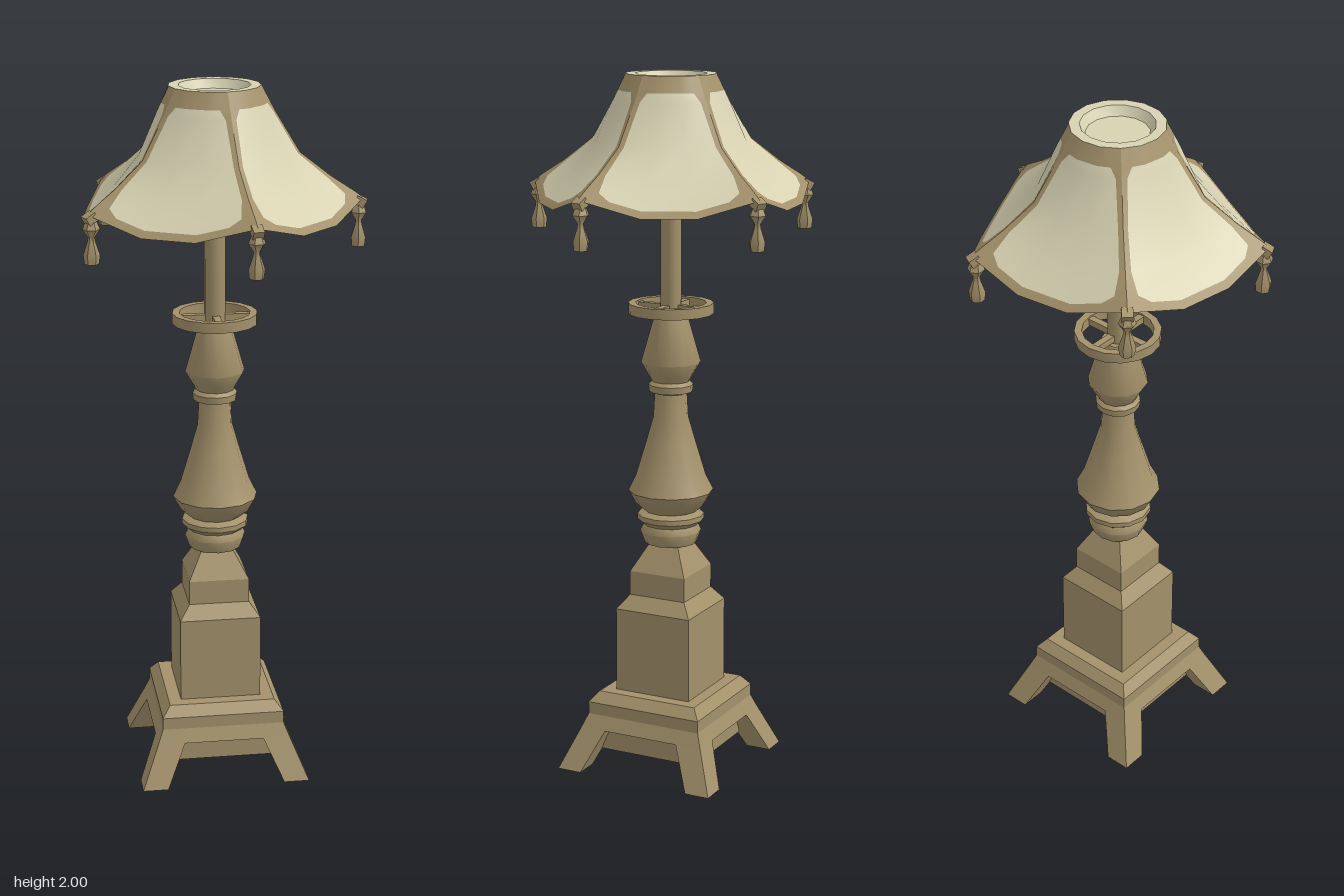
import * as THREE from 'three';
import { toCreasedNormals } from 'three/addons/utils/BufferGeometryUtils.js';

const brown = new THREE.MeshStandardMaterial({ color: 0xa3916a, side: THREE.DoubleSide });
brown.name = 'antiqueBrass';
const cream = new THREE.MeshStandardMaterial({ color: 0xd8d2b2, side: THREE.DoubleSide });
cream.name = 'creamCloth';

const STEP = (Math.PI * 2) / 5;
const START = THREE.MathUtils.degToRad(9.9); // direction of the first shade rib

function add(parent, name, geometry, material) {
  const mesh = new THREE.Mesh(geometry, material);
  mesh.name = name;
  parent.add(mesh);
  return mesh;
}

// Turned part from [radius, y] pairs, bottom to top
function turned(points, sides, crease = 0.8) {
  const profile = points.map(([r, y]) => new THREE.Vector2(r, y));
  return toCreasedNormals(new THREE.LatheGeometry(profile, sides), crease);
}

// Stack of square sections from [half width, y] pairs
function squareStack(points) {
  const geo = turned(points.map(([h, y]) => [h * Math.SQRT2, y]), 4, 0.1);
  return geo.rotateY(Math.PI / 4);
}

// Splayed corner leg: a box with its top and bottom moved
function legGeometry() {
  const geo = new THREE.BoxGeometry(1, 1, 1);
  const p = geo.attributes.position;
  for (let i = 0; i < p.count; i++) {
    const top = p.getY(i) > 0;
    const outer = top ? 0.193 : 0.243, inner = top ? 0.115 : 0.17;
    p.setXYZ(i, p.getX(i) > 0 ? outer : inner, top ? 0.12 : 0, p.getZ(i) > 0 ? outer : inner);
  }
  geo.computeVertexNormals();
  return geo;
}

// One fifth of the shade: cream cloth inside a brown border
function panelGeometry() {
  // rib radius, rib y, middle radius, middle y, border position
  const rows = [
    [0.128, 2.0, 0.126, 2.0, 0.7],
    [0.152, 1.955, 0.148, 1.955, 0.7],
    [0.165, 1.93, 0.16, 1.93, 0.85],
    [0.235, 1.815, 0.21, 1.815, 0.9],
    [0.32, 1.75, 0.28, 1.73, 0.91],
    [0.375, 1.715, 0.33, 1.68, 0.85],
    [0.39, 1.705, 0.35, 1.663, 0.7],
    [0.41, 1.69, 0.367, 1.645, 0.7],
  ];
  const at = (r, y, deg) => {
    const a = THREE.MathUtils.degToRad(deg);
    return new THREE.Vector3(r * Math.cos(a), y, r * Math.sin(a));
  };
  const positions = [];
  for (const [rc, yc, rm, ym, border] of rows) {
    for (const u of [-1, -border, -1 / 3, 1 / 3, border, 1]) {
      const s = Math.sign(u);
      const t = (Math.abs(u) - 1 / 3) * 1.5;
      positions.push(...at(rm, ym, 12 * s).lerp(at(rc, yc, 36 * s), t).toArray());
    }
  }
  const edge = [], cloth = [];
  for (let i = 0; i < rows.length - 1; i++) {
    for (let j = 0; j < 5; j++) {
      const a = i * 6 + j, b = a + 1, c = a + 6, d = a + 7;
      const inside = i > 0 && i < rows.length - 2 && j > 0 && j < 4;
      (inside ? cloth : edge).push(a, b, d, a, d, c);
    }
  }
  const geo = new THREE.BufferGeometry();
  geo.setAttribute('position', new THREE.Float32BufferAttribute(positions, 3));
  geo.setIndex([...edge, ...cloth]);
  geo.addGroup(0, edge.length, 0);
  geo.addGroup(edge.length, cloth.length, 1);
  geo.computeVertexNormals();
  return geo;
}

export function createModel() {
  const model = new THREE.Group();
  model.name = 'tableLamp';
  const lamp = new THREE.Group();
  lamp.name = 'lamp';
  lamp.position.set(-0.016, 0, -0.018);
  model.add(lamp);

  // Square pedestal and splayed feet
  add(lamp, 'pedestal', squareStack([
    [0.193, 0.12], [0.177, 0.16], [0.177, 0.195], [0.153, 0.225], [0.117, 0.225],
    [0.117, 0.47], [0.087, 0.51], [0.087, 0.58], [0.045, 0.66], [0, 0.66],
  ]), brown);
  add(lamp, 'baseBlock', squareStack([
    [0, 0.05], [0.155, 0.05], [0.155, 0.12], [0.193, 0.12],
  ]), brown);
  const leg = legGeometry();
  for (let i = 0; i < 4; i++) add(lamp, 'leg', leg, brown).rotation.y = (i * Math.PI) / 2;

  // Turned column
  add(lamp, 'column', turned([
    [0, 0.66], [0.075, 0.66], [0.088, 0.695], [0.078, 0.715], [0.096, 0.73],
    [0.096, 0.745], [0.075, 0.755], [0.1, 0.775], [0.122, 0.815], [0.1, 0.86],
    [0.07, 0.96], [0.05, 1.03], [0.046, 1.1], [0.062, 1.105], [0.064, 1.125],
    [0.054, 1.135], [0.062, 1.15], [0.085, 1.19], [0.045, 1.33], [0, 1.33],
  ], 12), brown);
  add(lamp, 'pole', turned([[0.03, 1.32], [0.03, 1.8]], 10), brown);
  add(lamp, 'poleTop', turned([[0.03, 1.8], [0.03, 1.975]], 10), cream);

  // Spoked ring
  add(lamp, 'ring', turned([
    [0.1, 1.33], [0.121, 1.33], [0.121, 1.36], [0.1, 1.36], [0.1, 1.33],
  ], 16), brown);
  for (let i = 0; i < 2; i++) {
    const spoke = add(lamp, 'spokes', new THREE.BoxGeometry(0.21, 0.02, 0.02), brown);
    spoke.position.y = 1.345;
    spoke.rotation.y = (i * Math.PI) / 2;
  }

  // Five-sided shade with a hanging tassel at each rib
  const shade = new THREE.Group();
  shade.name = 'shade';
  lamp.add(shade);
  const panel = panelGeometry();
  const tassel = turned([
    [0, 1.555], [0.02, 1.555], [0.023, 1.58], [0.011, 1.615], [0.009, 1.628],
    [0.024, 1.65], [0.014, 1.675], [0, 1.69],
  ], 6);
  for (let i = 0; i < 5; i++) {
    const rib = START + i * STEP;
    add(shade, 'shadePanel', panel, [brown, cream]).rotation.y = -(rib + STEP / 2);
    const hanger = new THREE.Group();
    hanger.name = 'hanger';
    hanger.rotation.y = -rib;
    add(hanger, 'tassel', tassel, brown).position.x = 0.398;
    const knob = add(hanger, 'knob', new THREE.BoxGeometry(0.03, 0.025, 0.03), brown);
    knob.position.set(0.402, 1.68, 0);
    knob.rotation.z = -0.5;
    shade.add(hanger);
  }

  // Recessed cap closing the top of the shade
  const cap = turned([[0.128, 2], [0.1, 2], [0.085, 1.975], [0, 1.975]], 15, 0.4);
  add(shade, 'cap', cap, cream).rotation.y = Math.PI / 2 - START - STEP;

  return model;
}
